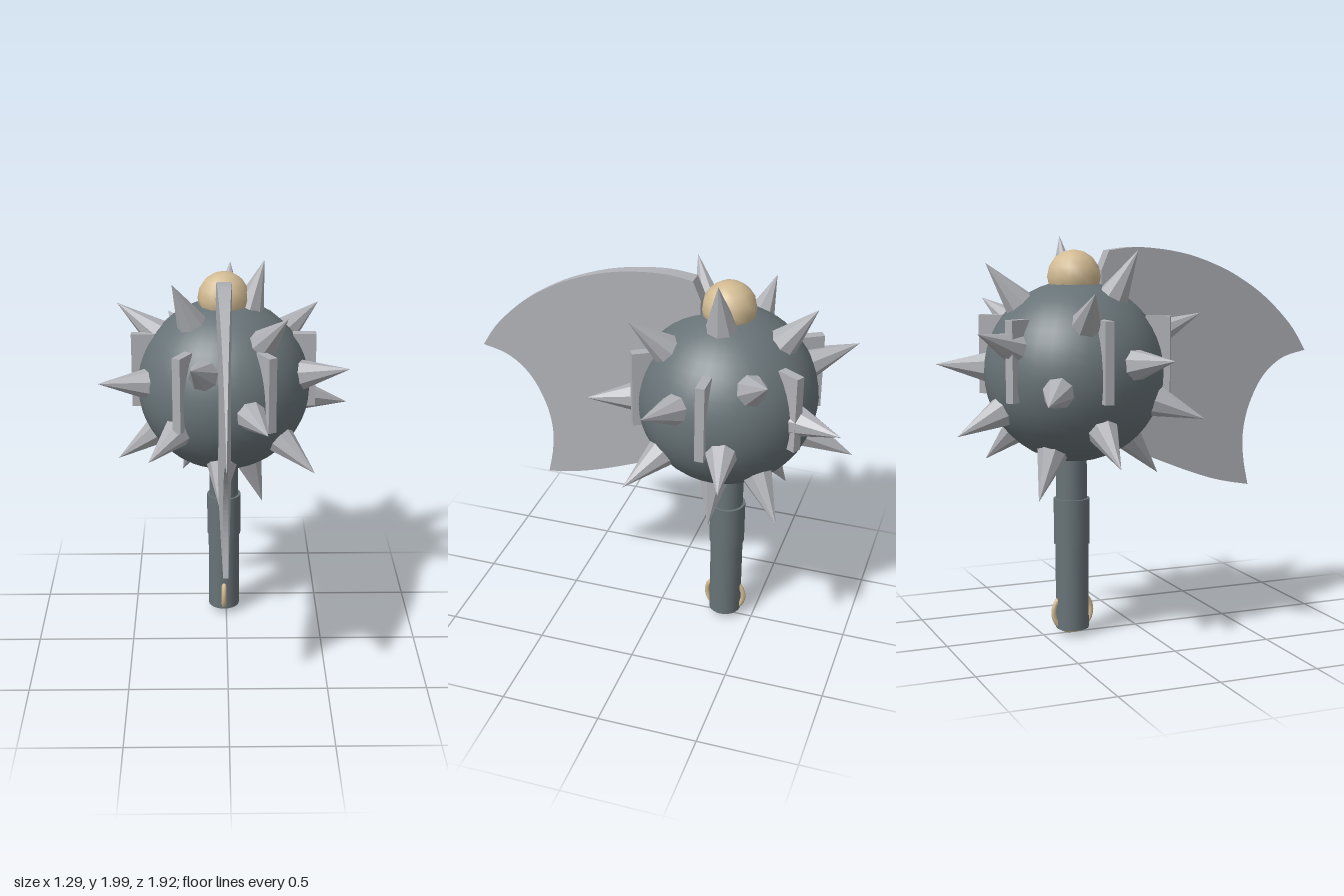
import * as THREE from 'three';

const CENTER = new THREE.Vector3(-0.013, 1.335, -0.33);
const HANDLE_Z = -0.35;

const material = (name, color) => {
  const m = new THREE.MeshStandardMaterial({ color });
  m.name = name;
  return m;
};

export function createModel() {
  const model = new THREE.Group();
  model.name = 'spikedMace';

  const iron = material('dark iron', 0x687377);
  const steel = material('steel', 0xb0b1b6);
  steel.flatShading = true;
  const brass = material('pale brass', 0xd2bb93);

  const add = (name, geometry, mat, x, y, z, parent = model) => {
    const mesh = new THREE.Mesh(geometry, mat);
    mesh.name = name;
    mesh.position.set(x, y, z);
    parent.add(mesh);
    return mesh;
  };

  // Head and top ball
  add('head', new THREE.SphereGeometry(0.446, 32, 24), iron, CENTER.x, CENTER.y, CENTER.z);
  add('topBall', new THREE.SphereGeometry(0.133, 12, 8), brass, CENTER.x, 1.798, CENTER.z);

  // Handle: neck, collar and grip as [name, radius, bottom, top]
  for (const [name, r, y0, y1] of [
    ['neck', 0.077, 0.68, 0.98],
    ['collar', 0.09, 0.47, 0.7],
    ['grip', 0.083, 0.035, 0.48],
  ]) {
    add(name, new THREE.CylinderGeometry(r, r, y1 - y0, 24), iron, CENTER.x, (y0 + y1) / 2, HANDLE_Z);
  }

  // Ring through the bottom of the grip
  const ring = add('ring', new THREE.TorusGeometry(0.1, 0.013, 8, 32), brass, CENTER.x, 0.117, HANDLE_Z);
  ring.rotation.y = Math.PI / 2;

  // Spikes spread evenly on a golden-angle spiral
  const spikes = new THREE.Group();
  spikes.name = 'spikes';
  model.add(spikes);
  const spikeGeometry = new THREE.ConeGeometry(0.083, 0.275, 8);
  const up = new THREE.Vector3(0, 1, 0);
  const COUNT = 22;
  for (let i = 0; i < COUNT; i++) {
    const y = 1 - (2 * (i + 0.5)) / COUNT;
    const r = Math.sqrt(1 - y * y);
    const a = i * Math.PI * (3 - Math.sqrt(5));
    const dir = new THREE.Vector3(r * Math.cos(a), y, r * Math.sin(a));
    const p = dir.clone().multiplyScalar(0.5535).add(CENTER);
    add('spike', spikeGeometry, steel, p.x, p.y, p.z, spikes).quaternion.setFromUnitVectors(up, dir);
  }

  // Six upright fins around the head
  const fins = new THREE.Group();
  fins.name = 'fins';
  model.add(fins);
  const finGeometry = new THREE.BoxGeometry(0.12, 0.39, 0.045);
  for (let i = 0; i < 6; i++) {
    const a = (i * Math.PI) / 3;
    const fin = add('fin', finGeometry, steel,
      CENTER.x + 0.415 * Math.cos(a), 1.415, CENTER.z + 0.415 * Math.sin(a), fins);
    fin.rotation.y = -a;
  }

  // Axe blade: outline in z and y, thinning towards the cutting edge
  const pts = (list) => list.map(([z, y]) => new THREE.Vector2(z, y));
  const outline = new THREE.Shape();
  outline.moveTo(-0.16, 1.925);
  outline.splineThru(pts([[0.005, 1.94], [0.243, 1.91], [0.455, 1.84], [0.614, 1.756],
    [0.746, 1.66], [0.88, 1.525], [0.965, 1.395]]));
  outline.splineThru(pts([[0.825, 1.358], [0.709, 1.263], [0.63, 1.114], [0.598, 0.97],
    [0.603, 0.838], [0.63, 0.7]]));
  outline.splineThru(pts([[0.455, 0.737], [0.27, 0.8], [0.005, 0.91]]));
  outline.lineTo(-0.04, 1.1);
  outline.lineTo(-0.2, 1.4);
  outline.lineTo(-0.2, 1.83);
  outline.closePath();
  const blade = new THREE.ExtrudeGeometry(outline, { depth: 1, bevelEnabled: false, curveSegments: 4 });
  blade.translate(0, 0, -0.5);
  blade.rotateY(-Math.PI / 2);
  const pos = blade.attributes.position;
  for (let i = 0; i < pos.count; i++) {
    pos.setX(i, pos.getX(i) * 0.08 * (0.99 - pos.getZ(i)) / 1.17);
  }
  blade.computeVertexNormals();
  add('blade', blade, steel, CENTER.x, 0, 0);

  return model;
}
